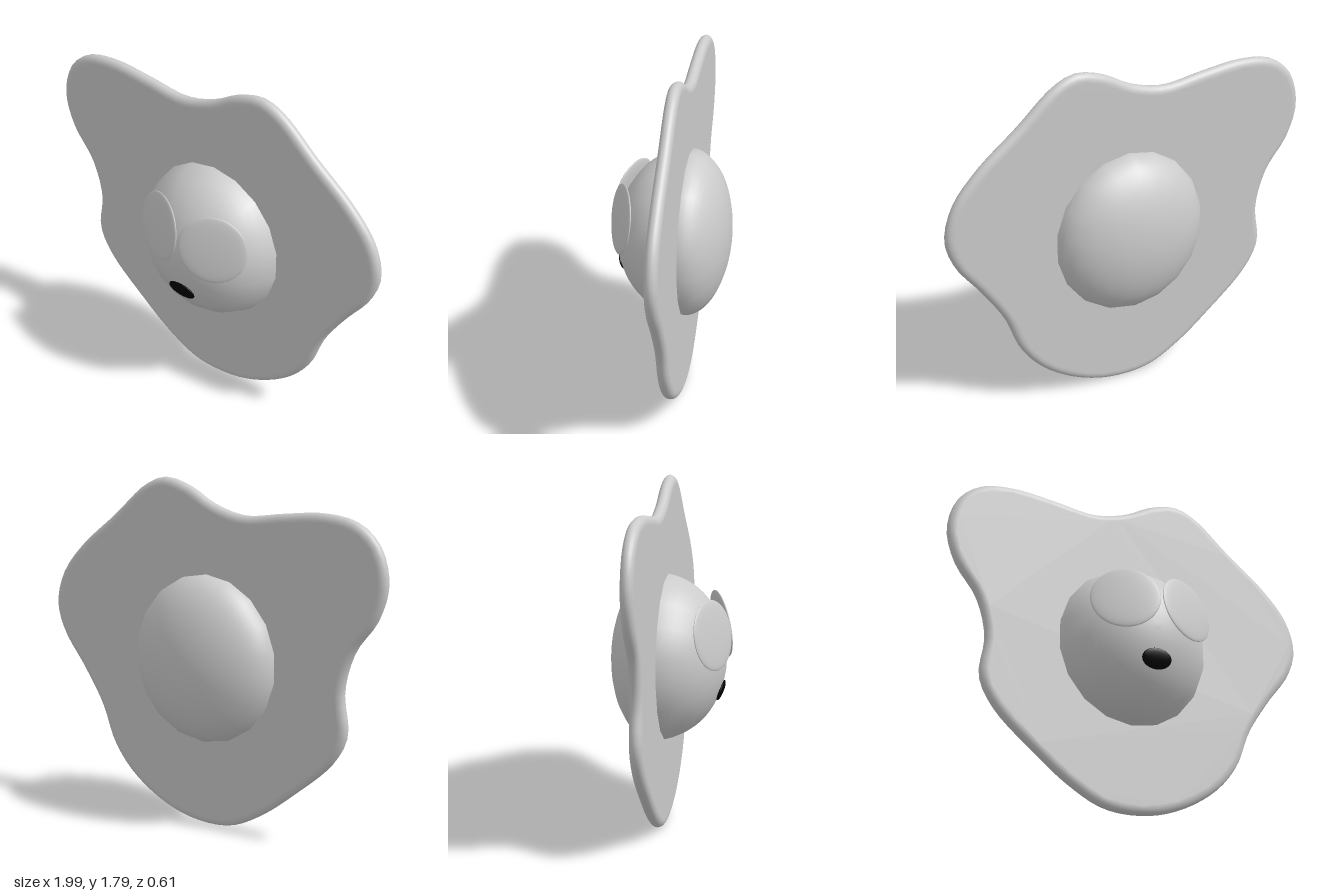
import * as THREE from 'three';
import { mergeVertices } from 'three/addons/utils/BufferGeometryUtils.js';

const grey = new THREE.MeshStandardMaterial({ color: 0xcccccc });
const black = new THREE.MeshStandardMaterial({ color: 0x000000 });

function addMesh(group, name, geometry, material = grey) {
  const mesh = new THREE.Mesh(geometry, material);
  mesh.name = name;
  group.add(mesh);
  return mesh;
}

// Wavy slab with a rounded rim
function eggWhiteGeometry() {
  const outline = [
    [0.28, 1.795], [0.4, 1.75], [0.6, 1.58], [0.82, 1.4], [0.95, 1.24], [0.995, 1.07],
    [0.95, 0.92], [0.82, 0.74], [0.7, 0.55], [0.62, 0.35], [0.5, 0.2], [0.3, 0.07],
    [0.1, 0.01], [-0.12, 0.015], [-0.3, 0.1], [-0.5, 0.25], [-0.72, 0.45], [-0.795, 0.6],
    [-0.775, 0.82], [-0.83, 1.02], [-0.95, 1.19], [-1, 1.37], [-0.95, 1.55], [-0.83, 1.65],
    [-0.65, 1.68], [-0.42, 1.66], [-0.2, 1.635], [-0.02, 1.68], [0.13, 1.76],
  ].map(([x, y]) => new THREE.Vector3(x, y, 0));
  const curve = new THREE.CatmullRomCurve3(outline, true, 'centripetal');
  const points = curve.getSpacedPoints(110).slice(0, -1);
  const shape = new THREE.Shape(points.map((p) => new THREE.Vector2(p.x, p.y)));
  const slab = new THREE.ExtrudeGeometry(shape, {
    depth: 0.005, bevelThickness: 0.03, bevelSize: 0.04, bevelOffset: -0.04, bevelSegments: 6,
  });
  slab.translate(0, 0, -0.055);
  // Weld so that the rim shades smoothly into the faces
  slab.deleteAttribute('normal');
  slab.deleteAttribute('uv');
  const smooth = mergeVertices(slab, 1e-4);
  smooth.computeVertexNormals();
  return smooth;
}

// Ellipsoid with a shallow back and a deeper front, turned about z
function yolkGeometry() {
  const profile = [];
  for (let i = 0; i <= 32; i++) {
    const a = -Math.PI / 2 + (Math.PI * i) / 32;
    const depth = a < 0 ? 0.225 : 0.36;
    profile.push(new THREE.Vector2(Math.max(0, Math.cos(a)), Math.sin(a) * depth));
  }
  return new THREE.LatheGeometry(profile, 18).rotateX(Math.PI / 2).scale(0.41, 0.435, 1);
}

// Thin lens lying on the yolk, facing along the given normal
function addLens(group, name, size, position, normal, material) {
  const lens = addMesh(group, name, new THREE.SphereGeometry(1, 40, 24), material);
  lens.scale.set(...size);
  lens.position.set(...position);
  lens.quaternion.setFromUnitVectors(
    new THREE.Vector3(0, 0, 1), new THREE.Vector3(...normal).normalize());
}

export function createModel() {
  const group = new THREE.Group();
  group.name = 'friedEgg';

  addMesh(group, 'eggWhite', eggWhiteGeometry());
  addMesh(group, 'yolk', yolkGeometry()).position.set(0.01, 0.89, -0.08);

  for (const [name, side] of [['leftEye', 1], ['rightEye', -1]]) {
    addLens(group, name, [0.178, 0.178, 0.018],
      [0.03 + side * 0.17, 1.035, 0.229], [side * 0.43, 0.18, 1]);
  }
  addLens(group, 'mouth', [0.08, 0.053, 0.014], [0.02, 0.72, 0.252], [0, -0.35, 1], black);

  return group;
}
